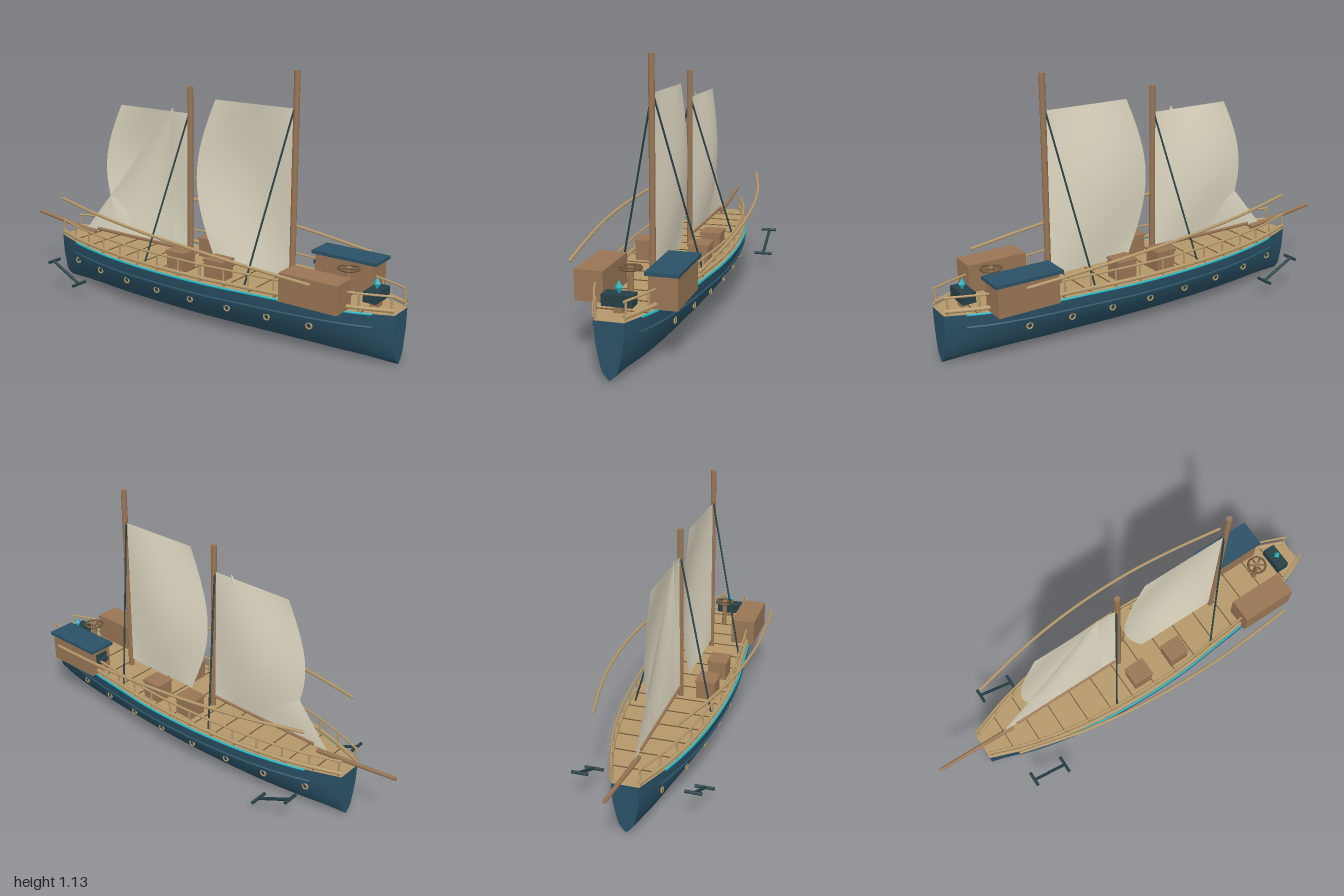
import * as THREE from 'three';

const V = (x, y, z) => new THREE.Vector3(x, y, z);
const paint = (name, color, side = THREE.FrontSide) => {
  const m = new THREE.MeshStandardMaterial({ color, side });
  m.name = name;
  return m;
};

// Half-width of the hull (x) along its length (z)
const outline = new THREE.CatmullRomCurve3([
  [0.058, -0.785], [0.128, -0.6], [0.177, -0.4], [0.204, -0.2], [0.215, 0], [0.212, 0.2],
  [0.193, 0.4], [0.168, 0.62], [0.122, 0.84], [0.057, 1],
].map(([x, z]) => V(x, 0, z)));
const samples = outline.getSpacedPoints(120);
function halfWidth(z) {
  const i = Math.max(1, samples.findIndex((p) => p.z >= z));
  const a = samples[i - 1], b = samples[i];
  return THREE.MathUtils.lerp(a.x, b.x, THREE.MathUtils.clamp((z - a.z) / (b.z - a.z), 0, 1));
}

// Hull cross-section: x as a fraction of half-width, y as height
const half = [[1, 0.225], [0.97, 0.185], [0.92, 0.143], [0.74, 0.088], [0.54, 0.04], [0.27, 0.018], [0, 0.003]];
const section = [...half, ...half.slice(0, -1).reverse().map(([x, y]) => [-x, y])];

// Grid surface; the front side faces du x dv
function surface(nu, nv, point) {
  const pos = [], idx = [];
  for (let i = 0; i <= nu; i++) for (let j = 0; j <= nv; j++) pos.push(...point(i / nu, j / nv));
  for (let i = 0; i < nu; i++) {
    for (let j = 0; j < nv; j++) {
      const a = i * (nv + 1) + j, b = a + nv + 1;
      idx.push(a, b, a + 1, b, b + 1, a + 1);
    }
  }
  const g = new THREE.BufferGeometry();
  g.setAttribute('position', new THREE.Float32BufferAttribute(pos, 3));
  g.setIndex(idx);
  g.computeVertexNormals();
  return g;
}

export function createModel() {
  const model = new THREE.Group();
  model.name = 'sailingShip';
  const blue = paint('hullBlue', 0x2a5166);
  const dark = paint('darkIron', 0x263f45);
  const tan = paint('deckTan', 0xb5986a, THREE.DoubleSide);
  const brown = paint('woodBrown', 0x997554);
  const seam = paint('seamBrown', 0x6e5638);
  const cyan = paint('trimCyan', 0x27b6c4);
  const cream = paint('sailCream', 0xe0d9c3, THREE.DoubleSide);

  const add = (name, geometry, material, x = 0, y = 0, z = 0) => {
    const m = new THREE.Mesh(geometry, material);
    m.name = name;
    m.position.set(x, y, z);
    model.add(m);
    return m;
  };
  // Box given by its lower and upper limits on each axis
  const box = (name, mat, x0, x1, y0, y1, z0, z1) => add(name,
    new THREE.BoxGeometry(x1 - x0, y1 - y0, z1 - z0), mat, (x0 + x1) / 2, (y0 + y1) / 2, (z0 + z1) / 2);
  const rod = (name, mat, a, b, r, r2 = r) => {
    const m = add(name, new THREE.CylinderGeometry(r2, r, a.distanceTo(b), 12), mat);
    m.position.copy(a).lerp(b, 0.5);
    m.quaternion.setFromUnitVectors(V(0, 1, 0), b.clone().sub(a).normalize());
    return m;
  };
  const tube = (name, mat, points, r) =>
    add(name, new THREE.TubeGeometry(new THREE.CatmullRomCurve3(points), 60, r, 8), mat);
  // Points following the hull side at a given height
  const along = (side, k, y, z0, z1) => Array.from({ length: 25 }, (_, i) => {
    const z = z0 + (z1 - z0) * i / 24;
    return V(side * halfWidth(z) * k, y, z);
  });

  // Hull, end walls and deck
  add('hull', surface(40, section.length - 1, (u, v) => {
    const p = outline.getPoint(u), [k, y] = section[Math.round(v * (section.length - 1))];
    return [p.x * k, y, p.z];
  }), blue);
  for (const [name, z, turn] of [['sternWall', 1, 0], ['bowWall', -0.785, Math.PI]]) {
    const w = halfWidth(z);
    const shape = new THREE.Shape(section.map(([k, y]) => new THREE.Vector2(k * w, y)));
    add(name, new THREE.ShapeGeometry(shape), blue, 0, 0, z).rotation.y = turn;
  }
  add('deck', surface(40, 2, (u, v) => {
    const p = outline.getPoint(u);
    return [p.x * (2 * v - 1), 0.226, p.z];
  }), tan);
  for (let i = 0; i < 14; i++) {
    const z = -0.668 + i * 0.119, w = halfWidth(z) * 0.95;
    box('deckSeam', seam, -w, w, 0.224, 0.229, z - 0.002, z + 0.002);
  }

  // Rails, trim, portholes, long poles and anchors on both sides
  for (const s of [-1, 1]) {
    tube('gunwale', tan, along(s, 0.95, 0.244, -0.78, 0.995), 0.009);
    tube('topRail', tan, along(s, 0.93, 0.302, -0.78, 0.995), 0.005);
    tube('cyanTrim', cyan, along(s, 1, 0.223, -0.64, 0.92), 0.005);
    tube('wale', blue, along(s, 0.955, 0.167, -0.66, 0.92), 0.006);
    for (let i = 0; i < 16; i++) {
      const z = -0.77 + i * 0.117, x = s * halfWidth(z) * 0.93;
      rod('railPost', tan, V(x, 0.225, z), V(x, 0.302, z), 0.0045);
    }
    for (let i = 0; i < 8; i++) {
      const z = 0.672 - i * 0.1874, x = s * halfWidth(z) * 0.905;
      add('portholeRing', new THREE.TorusGeometry(0.0125, 0.004, 8, 20), tan, x, 0.132, z).rotation.y = Math.PI / 2;
      rod('portholeGlass', dark, V(x - s * 0.01, 0.132, z), V(x + s * 0.001, 0.132, z), 0.011);
    }
    const pole = [[0.258, 0.352, 0.73], [0.284, 0.378, 0.45], [0.294, 0.4, 0.2], [0.28, 0.42, -0.1],
      [0.24, 0.437, -0.38], [0.172, 0.453, -0.66]].map(([x, y, z]) => V(s * x, y, z));
    tube('longPole', tan, pole, 0.007);
    for (const end of [pole[0], pole[5]]) add('poleEnd', new THREE.SphereGeometry(0.007, 8, 6), tan, end.x, end.y, end.z);
    rod('anchorShank', dark, V(s * 0.245, 0.08, -0.505), V(s * 0.245, 0.16, -0.665), 0.007);
    rod('anchorStock', dark, V(s * 0.205, 0.16, -0.665), V(s * 0.276, 0.16, -0.665), 0.007);
    rod('anchorArm', dark, V(s * 0.202, 0.08, -0.505), V(s * 0.286, 0.08, -0.505), 0.007);

    // Deck crates
    for (const z of [0.002, 0.205]) {
      box('deckCrate', brown, s * 0.117 - 0.043, s * 0.117 + 0.043, 0.225, 0.305, z - 0.045, z + 0.045);
      box('crateLid', brown, s * 0.117 - 0.047, s * 0.117 + 0.047, 0.305, 0.315, z - 0.05, z + 0.05);
    }
    // Shrouds
    rod('mainShroud', dark, V(0, 0.985, 0.495), V(s * 0.175, 0.235, 0.375), 0.004);
    rod('foreShroud', dark, V(0, 0.905, -0.04), V(s * 0.175, 0.235, -0.16), 0.004);
  }

  // Masts, bowsprit and boom
  rod('mainMast', brown, V(0, 0.2, 0.502), V(0, 1.13, 0.502), 0.013);
  rod('foreMast', brown, V(0, 0.2, -0.035), V(0, 1.02, -0.035), 0.013);
  rod('bowsprit', brown, V(0, 0.252, -0.62), V(0, 0.296, -1), 0.011, 0.008);
  rod('boom', brown, V(0, 0.275, -0.04), V(0, 0.275, -0.6), 0.008);

  // Square sails with a bowed free edge and a belly towards +x
  const sail = (name, z0, z1, y0, y1) => add(name, surface(16, 16, (u, v) => {
    const belly = Math.sin(Math.PI * v);
    return [0.037 * Math.sin(Math.PI * u) * belly, y0 + (y1 - y0) * v, z0 + (z1 - 0.1 * belly - z0) * u];
  }), cream);
  sail('mainSail', 0.49, 0.1, 0.26, 0.975);
  sail('foreSail', -0.045, -0.435, 0.27, 0.9);
  // Triangular jib
  add('jib', surface(12, 12, (u, v) => [
    0.02 * Math.sin(Math.PI * u) * Math.sin(Math.PI * v),
    0.27 + 0.65 * v,
    -0.13 - 0.54 * u * (1 - v),
  ]), cream);

  // Deck houses
  box('cabin', brown, 0.09, 0.203, 0.225, 0.355, 0.56, 0.832);
  box('cabinRoof', blue, 0.08, 0.212, 0.354, 0.368, 0.545, 0.845);
  box('cabinWindow', dark, 0.115, 0.175, 0.275, 0.33, 0.552, 0.561);
  box('cabinHandle', dark, 0.12, 0.17, 0.295, 0.31, 0.534, 0.553);
  box('storeHouse', brown, -0.203, -0.088, 0.228, 0.35, 0.56, 0.825);

  // Flat steering wheel on its post
  rod('wheelPost', brown, V(0, 0.225, 0.765), V(0, 0.36, 0.765), 0.012);
  add('wheelRim', new THREE.TorusGeometry(0.042, 0.005, 8, 28), seam, 0, 0.355, 0.765).rotation.x = Math.PI / 2;
  for (let i = 0; i < 3; i++) {
    const c = Math.cos(i * Math.PI / 3) * 0.042, s = Math.sin(i * Math.PI / 3) * 0.042;
    rod('wheelSpoke', seam, V(-c, 0.355, 0.765 - s), V(c, 0.355, 0.765 + s), 0.004);
  }

  // Stern chest with a glowing gem
  box('chestFoot', brown, -0.018, 0.018, 0.225, 0.255, 0.875, 0.91);
  box('sternChest', dark, -0.06, 0.06, 0.252, 0.297, 0.862, 0.92);
  add('gem', new THREE.OctahedronGeometry(0.016), cyan, 0, 0.318, 0.892).scale.y = 1.7;

  return model;
}
